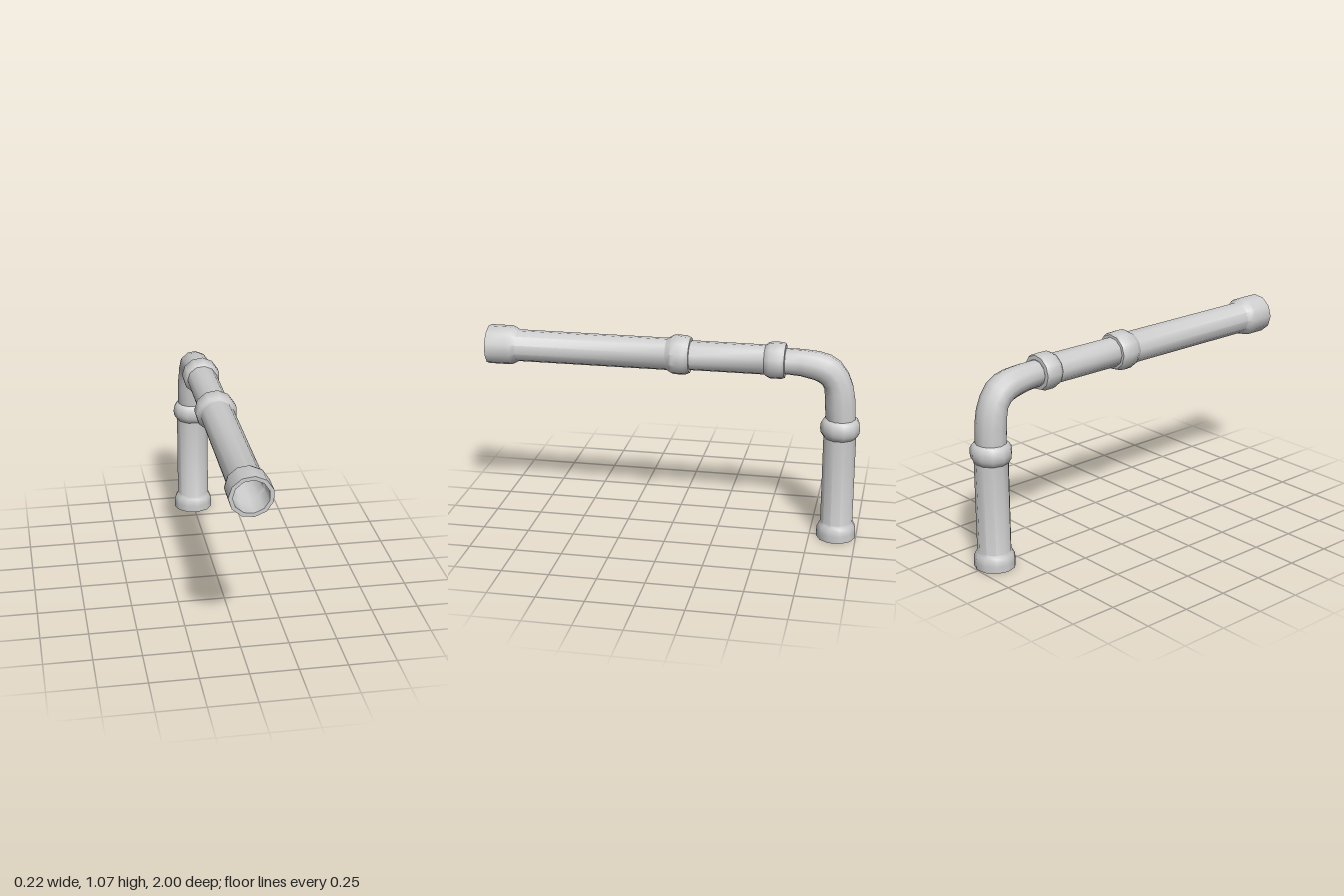
import * as THREE from 'three';
import { toCreasedNormals } from 'three/addons/utils/BufferGeometryUtils.js';

const SIDES = 11;
const SQUASH = 0.95; // the pipe is slightly wider across x
const AXIS_Y = 0.969, AXIS_Z = -0.893;
const material = new THREE.MeshStandardMaterial({ color: 0xcccccc, side: THREE.DoubleSide });

// Skins rings along a path in the yz plane; each station is [z, y, tilt in degrees, radius]
function pipe(name, stations) {
  const positions = [], index = [];
  stations.forEach(([z, y, tilt, r], i) => {
    const a = THREE.MathUtils.degToRad(tilt);
    for (let j = 0; j < SIDES; j++) {
      const t = (j / SIDES) * Math.PI * 2;
      const n = SQUASH * r * Math.sin(t);
      positions.push(-r * Math.cos(t), y + n * Math.cos(a), z - n * Math.sin(a));
      if (i === stations.length - 1) continue;
      const p = i * SIDES + j, q = i * SIDES + (j + 1) % SIDES;
      index.push(p, q, p + SIDES, q, q + SIDES, p + SIDES);
    }
  });
  const geometry = new THREE.BufferGeometry();
  geometry.setAttribute('position', new THREE.Float32BufferAttribute(positions, 3));
  geometry.setIndex(index);
  const mesh = new THREE.Mesh(toCreasedNormals(geometry, THREE.MathUtils.degToRad(42)), material);
  mesh.name = name;
  return mesh;
}

// Straight runs from [position along axis, radius] pairs
const horizontal = (name, profile) => pipe(name, profile.map(([z, r]) => [z, AXIS_Y, 0, r]));
const vertical = (name, profile) => pipe(name, profile.map(([y, r]) => [AXIS_Z, y, 90, r]));

export function createModel() {
  const group = new THREE.Group();
  group.name = 'pipe';

  group.add(
    // Long front pipe: bore, open rim, flared socket, then the barrel
    horizontal('frontPipe', [
      [0.0, 0.079], [0.86, 0.079], [0.88, 0.09], [1, 0.09],
      [1, 0.111], [0.885, 0.111], [0.865, 0.106], [0.84, 0.09], [0.03, 0.09],
    ]),
    horizontal('middleCollar', [
      [0.03, 0.09], [0.012, 0.1], [-0.002, 0.109], [-0.035, 0.111],
      [-0.072, 0.109], [-0.095, 0.098], [-0.096, 0.083],
    ]),
    horizontal('middlePipe', [[-0.096, 0.083], [-0.49, 0.083]]),
    horizontal('elbowCollar', [
      [-0.49, 0.083], [-0.5, 0.093], [-0.52, 0.102],
      [-0.578, 0.102], [-0.596, 0.094], [-0.598, 0.072],
    ]),
    // Elbow turning downward
    pipe('elbow', [
      [-0.598, 0.967, 0, 0.072], [-0.68, 0.964, 3, 0.075], [-0.757, 0.953, 10, 0.08],
      [-0.8, 0.94, 22, 0.082], [-0.836, 0.917, 36, 0.082], [-0.864, 0.878, 56, 0.08],
      [-0.88, 0.825, 70, 0.083], [-0.888, 0.76, 80, 0.085], [-0.893, 0.673, 90, 0.083],
    ]),
    vertical('lowerCollar', [
      [0.673, 0.083], [0.664, 0.097], [0.647, 0.108], [0.62, 0.111],
      [0.597, 0.108], [0.583, 0.1], [0.571, 0.091],
    ]),
    // Upright pipe: barrel, flared foot, open rim, then the bore
    vertical('lowerPipe', [
      [0.571, 0.091], [0.09, 0.091], [0.075, 0.1], [0.058, 0.109], [0.035, 0.111],
      [0, 0.111], [0, 0.09], [0.06, 0.09], [0.08, 0.08], [0.6, 0.08],
    ]),
  );
  return group;
}
